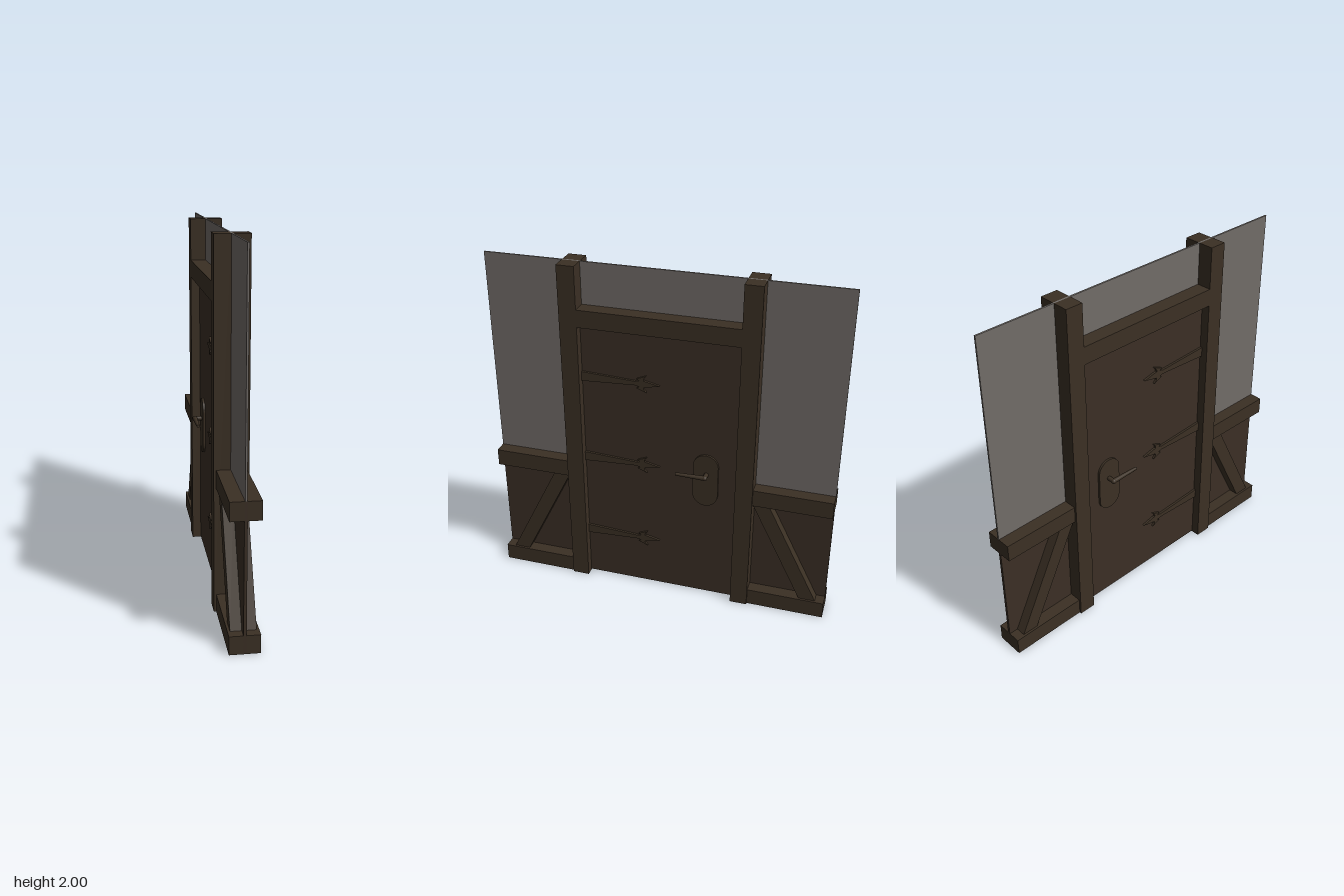
import * as THREE from 'three';

const mat = (name, color) => Object.assign(new THREE.MeshStandardMaterial({ color }), { name });

export function createModel() {
  const model = new THREE.Group();
  model.name = 'doorWall';
  const wood = mat('dark wood', 0x3b3024);
  const doorWood = mat('door wood', 0x3b2f25);
  const glass = mat('smoky glass', 0x716c68);

  const add = (name, geo, material, parent = model) => {
    const mesh = new THREE.Mesh(geo, material);
    mesh.name = name;
    parent.add(mesh);
    return mesh;
  };
  // box given by its limits on each axis
  const box = (name, material, [x0, x1], [y0, y1], [z0, z1]) => {
    const mesh = add(name, new THREE.BoxGeometry(Math.abs(x1 - x0), y1 - y0, Math.abs(z1 - z0)), material);
    mesh.position.set((x0 + x1) / 2, (y0 + y1) / 2, (z0 + z1) / 2);
    return mesh;
  };
  // (z, y) outline extruded outward in x on side s, between depths d0 and d1
  const plate = (name, material, shape, s, d0, d1) => {
    const geo = new THREE.ExtrudeGeometry(shape, { depth: d1 - d0, bevelEnabled: false, curveSegments: 16 });
    const mesh = add(name, geo, material);
    mesh.rotation.y = s * Math.PI / 2;
    mesh.position.x = s * d0;
    return mesh;
  };
  const outline = (pts, s) => new THREE.Shape(pts.map(([z, y]) => new THREE.Vector2(-s * z, y)));

  // glazing sheet in the middle of the wall
  for (const e of [-1, 1]) {
    box('sideGlass', glass, [-0.005, 0.005], [0.8, 2], [e * 0.45, e]);
    box('lowerPanel', doorWood, [-0.008, 0.008], [0, 0.8], [e * 0.5, e]);
  }
  box('transomGlass', glass, [-0.005, 0.005], [1.7, 2], [-0.45, 0.45]);

  // door leaf
  box('doorLeaf', doorWood, [-0.042, 0.042], [0.005, 1.67], [-0.46, 0.46]);

  // half of a strap hinge outline: taper, barb and spear tip
  const strap = [[0.45, 0.028], [0.14, 0.012], [0.115, 0.018], [0.13, 0.028], [0.105, 0.038],
    [0.075, 0.05], [0.09, 0.032], [0.09, 0.02], [0.06, 0.014]];
  const hinge = [...strap, [0, 0], ...strap.map(([z, y]) => [z, -y]).reverse()];

  for (const s of [-1, 1]) {
    box('lintel', wood, [s * 0.005, s * 0.093], [1.66, 1.76], [-0.45, 0.45]);

    for (const e of [-1, 1]) {
      box('post', wood, [s * 0.005, s * 0.093], [0, 2], [e * 0.45, e * 0.55]);
      box('bottomRail', wood, [s * 0.005, s * 0.08], [0, 0.1], [e * 0.55, e]);
      box('middleRail', wood, [s * 0.005, s * 0.08], [0.7, 0.8], [e * 0.55, e]);
      const brace = [[0.55, 0.7], [0.645, 0.7], [0.948, 0.1], [0.852, 0.1]].map(([z, y]) => [e * z, y]);
      plate('diagonalBrace', wood, outline(brace, s), s, 0.005, 0.067);
    }

    for (const y of [0.325, 0.84, 1.355]) {
      plate('strapHinge', wood, outline(hinge, s), s, 0.04, 0.055).position.y = y;
    }

    // rounded handle plate
    const u = s * 0.27, r = 0.073;
    const back = new THREE.Shape();
    back.absarc(u, 0.89, r, 0, Math.PI);
    back.absarc(u, 0.705, r, Math.PI, Math.PI * 2);
    plate('handlePlate', wood, back, s, 0.04, 0.055);

    // spindle and tapered lever
    const spindle = add('handleSpindle', new THREE.CylinderGeometry(0.013, 0.013, 0.055, 16), wood);
    spindle.rotation.z = Math.PI / 2;
    spindle.position.set(s * 0.0705, 0.84, -0.275);
    const knuckle = add('handleKnuckle', new THREE.SphereGeometry(0.015, 16, 10), wood);
    knuckle.position.set(s * 0.095, 0.84, -0.275);
    const lever = add('handleLever', new THREE.CylinderGeometry(0.009, 0.014, 0.17, 16), wood);
    lever.rotation.x = Math.PI / 2;
    lever.position.set(s * 0.094, 0.84, -0.19);
  }
  return model;
}
